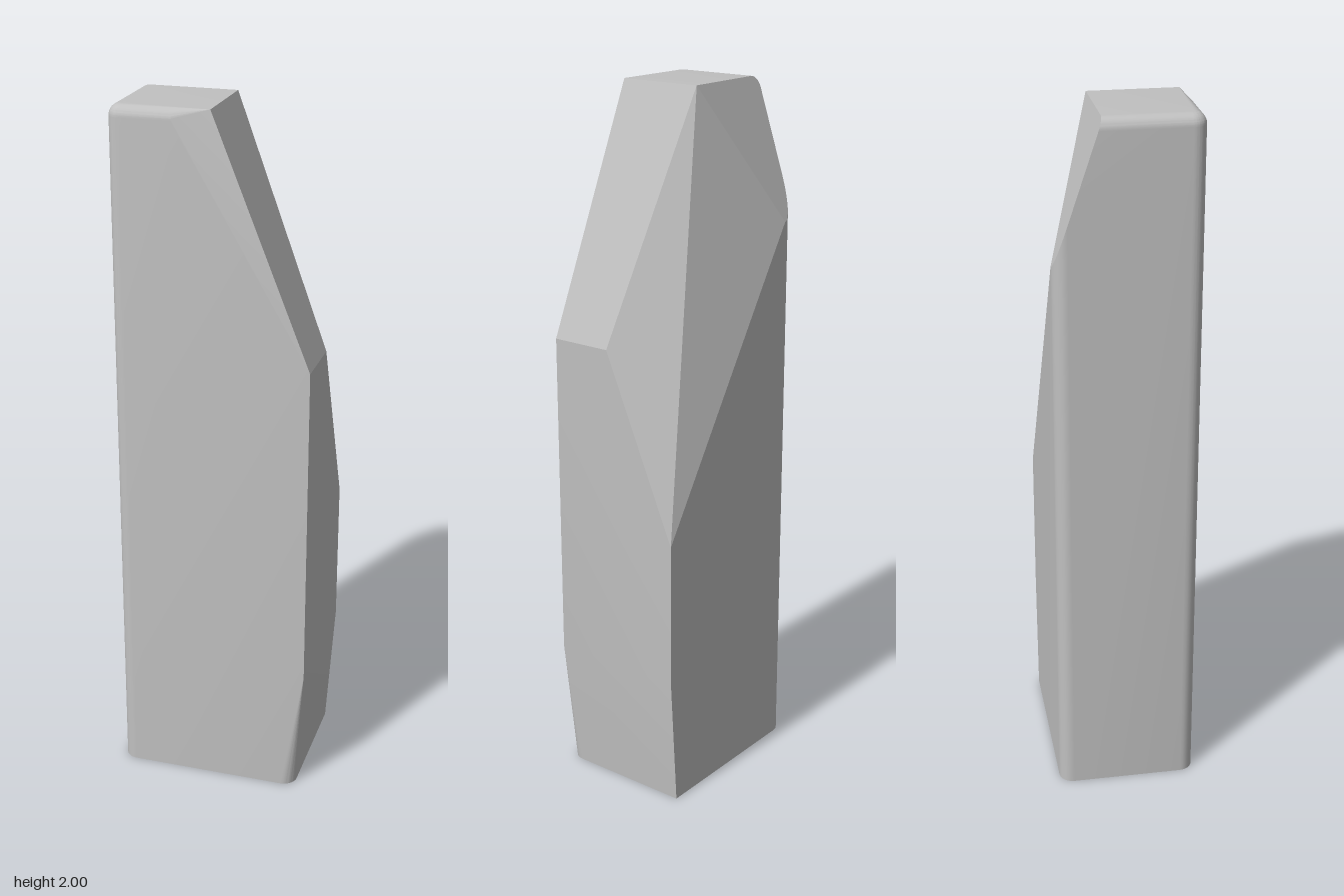
import * as THREE from 'three';
import { ConvexGeometry } from 'three/addons/geometries/ConvexGeometry.js';
import { toCreasedNormals } from 'three/addons/utils/BufferGeometryUtils.js';

const STEPS = 8;

export function createModel() {
  const stone = new THREE.MeshStandardMaterial({ color: 0xc0c0c0 });
  stone.name = 'grey stone';
  const points = [];
  const add = (x, y, z) => points.push(new THREE.Vector3(x, y, z));

  // height of the back slope at a given depth
  const slopeY = (z) => 2.21 + 3 * z;

  // cut facets on the right side
  add(0, 2, -0.07);
  add(0, 2, 0.178);
  add(0.28, 1.32, 0.2);
  add(0.28, 1.32, 0.02);
  add(0.28, 0.8, -0.2);

  // right wall, tapering in towards the foot
  add(0.28, 0.38, 0.2);
  add(0.28, 0.38, -0.2);
  add(0.255, 0, -0.2);

  const r = 0.04, t = 0.032;
  for (let i = 0; i <= STEPS; i++) {
    const a = (i / STEPS) * Math.PI / 2;
    const s = i === STEPS ? 1 : Math.sin(a);
    const c = i === STEPS ? 0 : Math.cos(a);

    // rounded foot of the front right edge
    add(0.215 + r * s, 0, 0.16 + r * c);

    // rounded front left edge
    add(-0.24 - r * s, 0, 0.16 + r * c);

    // rounded back left edge, cut off by the back slope
    const z = -0.16 - r * c;
    add(-0.24 - r * s, 0, z);
    add(-0.24 - r * s, slopeY(z), z);

    // rounded top left edge
    const y = 2 - t + t * c;
    add(-0.28 + t - t * s, y, (y - 2.21) / 3);

    // rounded top front edge
    add(-0.1, y, 0.2 - t + t * s);

    // rounded top front left corner
    for (let j = 0; j <= STEPS; j++) {
      const b = (j / STEPS) * Math.PI / 2;
      const k = r + (t - r) * c;
      add(-0.28 + r - (r - t + t * s) * Math.sin(b) * (k > 0 ? 1 : 0), y,
        0.2 - r + (r - t + t * s) * Math.cos(b));
    }
  }

  const geometry = toCreasedNormals(new ConvexGeometry(points), 0.21);
  const block = new THREE.Mesh(geometry, stone);
  block.name = 'cutStoneBlock';

  const model = new THREE.Group();
  model.name = 'standingStone';
  model.add(block);
  return model;
}
